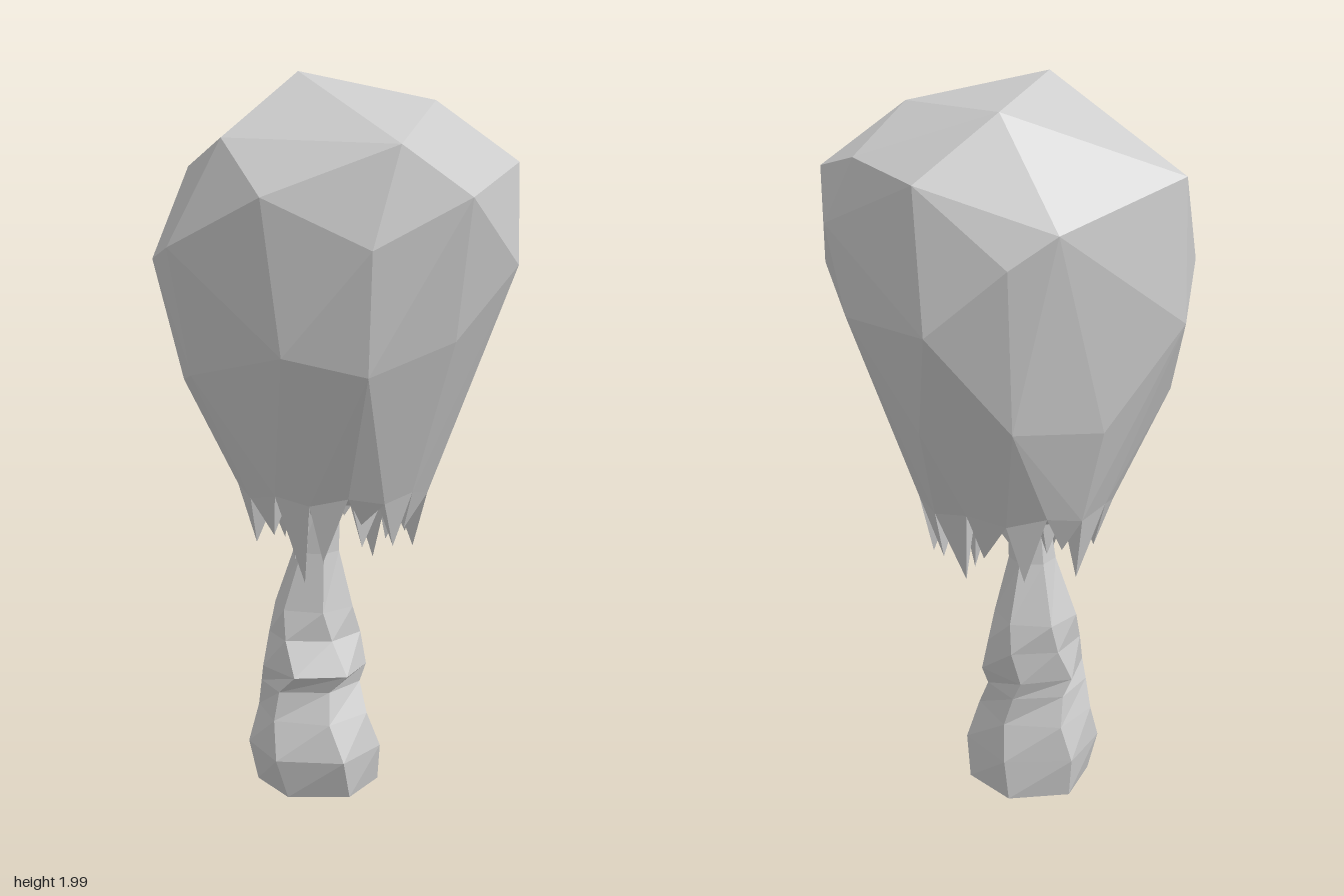
import * as THREE from 'three';
import { ConvexGeometry } from 'three/addons/geometries/ConvexGeometry.js';

const mat = new THREE.MeshStandardMaterial({ color: 0xcccccc, flatShading: true, side: THREE.DoubleSide });
const V = (x, y, z) => new THREE.Vector3(x, y, z);

function add(group, name, geometry) {
  const mesh = new THREE.Mesh(geometry, mat);
  mesh.name = name;
  group.add(mesh);
}

// Faceted corners of the crown, from the top down
const crownPoints = [
  [-0.07, 2, -0.08], [0.2, 1.92, -0.21], [0.2, 1.92, 0.18], [-0.35, 1.82, 0.01],
  [-0.23, 1.75, -0.43], [-0.05, 1.8, 0.4], [0.43, 1.8, 0.09], [0.44, 1.76, -0.175],
  [0.41, 1.76, 0.27], [0.13, 1.67, 0.455], [0.475, 1.63, 0.16], [-0.36, 1.67, 0.235],
  [0.21, 1.65, -0.45], [0.32, 1.57, -0.39], [-0.14, 1.54, 0.41], [-0.48, 1.54, -0.05],
  [-0.41, 1.5, -0.29], [0.36, 1.49, 0.34], [-0.21, 1.38, -0.46], [0.46, 1.4, -0.24],
  [0.47, 1.4, 0.08], [-0.31, 1.27, 0.25], [-0.12, 1.22, 0.36], [0.14, 1.3, 0.37],
  [-0.4, 1.2, -0.08], [-0.31, 1.16, -0.31], [0.02, 1.12, -0.41], [0.28, 1.15, -0.36],
  [0.39, 1.12, -0.12],
].map((p) => V(...p));

// Lower rim of the crown; angle 0 is +x, a quarter turn is +z
const rim = (a, y, s = 1) => {
  const rz = Math.sin(a) > 0 ? 0.26 : 0.29;
  return V(0.02 + 0.265 * s * Math.cos(a), y, -0.04 + rz * s * Math.sin(a));
};

// Heights of the ragged leaf tips around the rim
const tipHeights = [0.72, 0.7, 0.77, 0.73, 0.8, 0.7, 0.64, 0.76, 0.72, 0.82, 0.74, 0.68, 0.77, 0.69, 0.75, 0.68];

// Trunk rings: y, centre x, centre z, radius x, radius z, twist
const trunkRings = [
  [0.01, -0.015, -0.075, 0.17, 0.175, 0],
  [0.12, -0.03, -0.07, 0.185, 0.195, 0.1],
  [0.22, -0.03, -0.08, 0.155, 0.165, 0.25],
  [0.3, -0.03, -0.09, 0.145, 0.13, 0.1],
  [0.35, -0.025, -0.075, 0.145, 0.155, -0.1],
  [0.44, -0.01, -0.1, 0.135, 0.12, 0.1],
  [0.52, -0.01, -0.105, 0.115, 0.115, 0.3],
  [0.68, -0.01, -0.09, 0.065, 0.065, 0.2],
  [0.92, 0, -0.07, 0.05, 0.05, 0],
];

function trunkGeometry() {
  const last = trunkRings.length - 1;
  const g = new THREE.CylinderGeometry(1, 1, last, 6, last);
  const p = g.attributes.position;
  for (let i = 0; i < p.count; i++) {
    const [y, cx, cz, rx, rz, twist] = trunkRings[Math.round(p.getY(i) + last / 2)];
    const r = Math.hypot(p.getX(i), p.getZ(i));
    const a = Math.atan2(p.getZ(i), p.getX(i)) + twist;
    p.setXYZ(i, cx + rx * r * Math.cos(a), y, cz + rz * r * Math.sin(a));
  }
  // Slightly lowered middle of the foot
  for (let i = 0; i < p.count; i++) if (p.getY(i) === 0.01 && p.getZ(i) > 0.05) p.setY(i, 0);
  g.computeVertexNormals();
  return g;
}

export function createModel() {
  const tree = new THREE.Group();
  tree.name = 'tree';
  add(tree, 'trunk', trunkGeometry());

  // Crown body, closed underneath at the rim
  const n = tipHeights.length;
  const step = (Math.PI * 2) / n;
  const rimPoints = tipHeights.map((_, i) => rim(i * step, i % 2 ? 0.88 : 0.86));
  add(tree, 'crown', new ConvexGeometry([...crownPoints, ...rimPoints]));

  // Ragged leaf tips hanging from the rim
  const tips = new THREE.Group();
  tips.name = 'leafTips';
  tipHeights.forEach((y, i) => {
    const a = i * step;
    const mid = a + step / 2;
    const corners = [rimPoints[i], rimPoints[(i + 1) % n], rim(mid, 0.9, 0.55), rim(mid + 0.08 * (i % 3 - 1), y, 0.83)];
    add(tips, 'leafTip', new ConvexGeometry(corners));
  });

  // Shorter inner tufts around the trunk
  for (let i = 0; i < 6; i++) {
    const a = i * Math.PI / 3 + 0.3;
    const corners = [rim(a - 0.5, 0.88, 0.6), rim(a + 0.5, 0.88, 0.6), rim(a, 0.88, 0.15), rim(a, 0.66 + 0.05 * (i % 3), 0.42)];
    add(tips, 'innerTuft', new ConvexGeometry(corners));
  }
  tree.add(tips);
  return tree;
}
